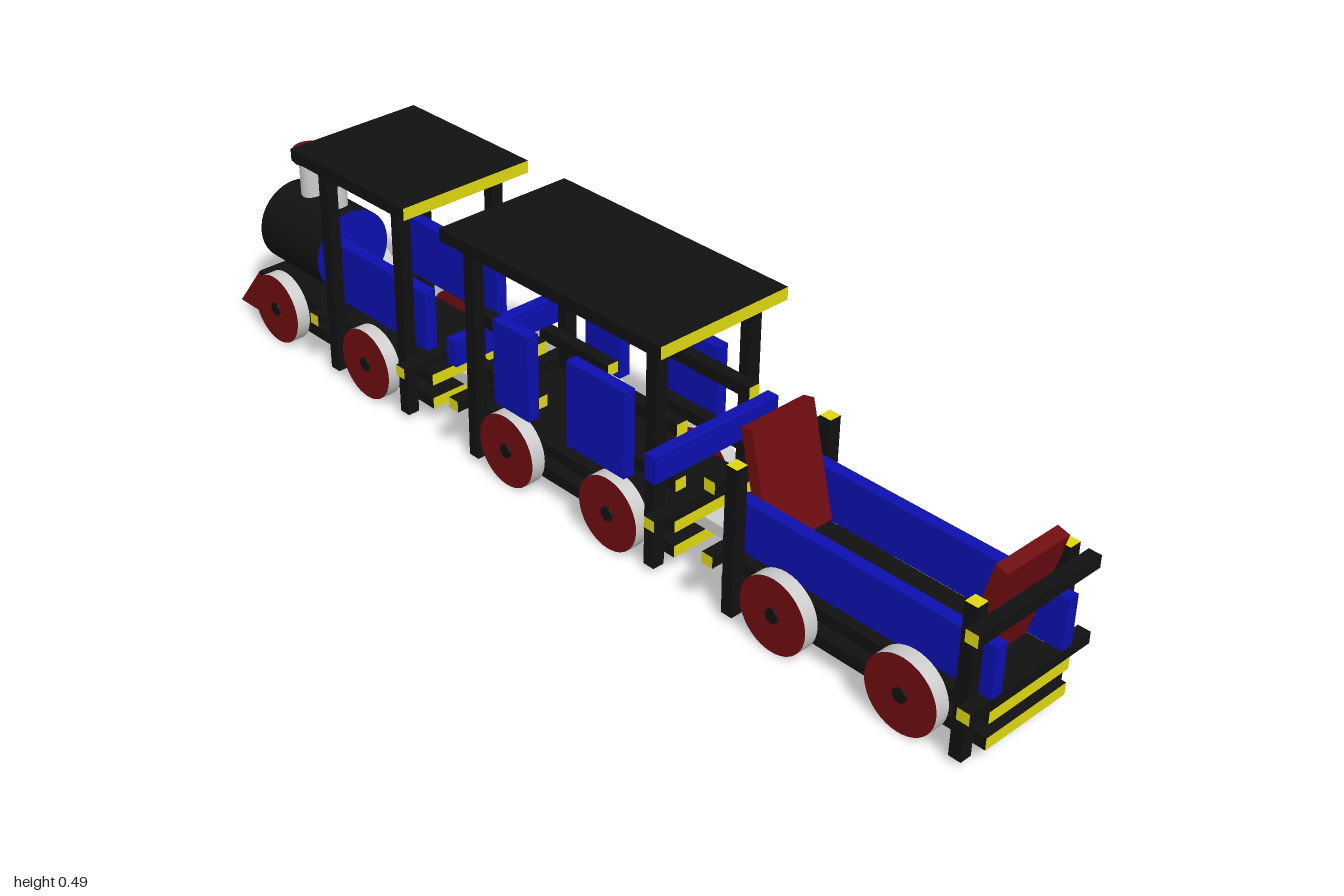
import * as THREE from 'three';

const mat = (color) => new THREE.MeshStandardMaterial({ color });
const BLACK = mat(0x111111), RED = mat(0x6e0c10), BLUE = mat(0x0c0fae);
const YELLOW = mat(0xded80f), GREY = mat(0xcccccc);

function add(parent, name, geometry, material) {
  const mesh = new THREE.Mesh(geometry, material);
  mesh.name = name;
  parent.add(mesh);
  return mesh;
}

// Box given by its limits; cut ends along endAxis show yellow
function beam(parent, name, [x0, x1], [y0, y1], [z0, z1], material, endAxis) {
  const mats = [0, 1, 2].flatMap((a) => Array(2).fill('xyz'[a] === endAxis ? YELLOW : material));
  const mesh = add(parent, name, new THREE.BoxGeometry(x1 - x0, y1 - y0, z1 - z0), endAxis ? mats : material);
  mesh.position.set((x0 + x1) / 2, (y0 + y1) / 2, (z0 + z1) / 2);
  return mesh;
}

// The same beam on both sides of the train
function beamPair(parent, name, x, y, [z0, z1], material, endAxis) {
  beam(parent, name + 'Left', x, y, [z0, z1], material, endAxis);
  beam(parent, name + 'Right', x, y, [-z1, -z0], material, endAxis);
}

// Cylinder along an axis with separate side and end materials
function rod(parent, name, axis, r, length, [x, y, z], side, ends = side) {
  const geo = new THREE.CylinderGeometry(r, r, length, 40);
  if (axis === 'x') geo.rotateZ(Math.PI / 2);
  if (axis === 'z') geo.rotateX(Math.PI / 2);
  const mesh = add(parent, name, geo, [side, ends, ends]);
  mesh.position.set(x, y, z);
  return mesh;
}

// Two deck plates, axle blocks, wheels, corner posts and cross rails
function undercarriage(name, deck, wheelX, postX, postTop) {
  const car = new THREE.Group();
  car.name = name;
  beam(car, 'upperDeck', deck, [0.09, 0.114], [-0.1, 0.1], BLACK, 'x');
  beam(car, 'lowerDeck', deck, [0.038, 0.062], [-0.1, 0.1], BLACK, 'x');
  for (const x of wheelX) {
    beam(car, 'axleBlock', [x - 0.025, x + 0.025], [0.062, 0.09], [-0.1, 0.1], BLACK);
    for (const s of [1, -1]) {
      rod(car, 'wheel', 'z', 0.074, 0.03, [x, 0.074, s * 0.115], GREY, RED);
      rod(car, 'hub', 'z', 0.014, 0.004, [x, 0.074, s * 0.131], BLACK);
      rod(car, 'dowel', 'y', 0.01, 0.003, [x, 0.038, s * 0.06], YELLOW);
    }
  }
  postX.forEach((x, i) => {
    beamPair(car, 'post', [x - 0.0125, x + 0.0125], [0.012, postTop], [0.1, 0.125], BLACK, 'y');
    beam(car, 'crossRail', outside(x, i), [0.114, 0.137], [-0.15, 0.15], BLACK, 'z');
  });
  return car;
}

// x range of a plank fixed to the outer face of a post
const outside = (x, i) => (i === 0 ? [x - 0.0375, x - 0.0125] : [x + 0.0125, x + 0.0375]);

function roof(car, x) {
  beam(car, 'roof', x, [0.461, 0.486], [-0.15, 0.15], BLACK, 'x');
}

function engine() {
  const car = undercarriage('engine', [-0.92, -0.35], [-0.824, -0.524], [-0.635, -0.41], 0.461);
  roof(car, [-0.697, -0.35]);
  beamPair(car, 'cabSide', [-0.685, -0.363], [0.162, 0.287], [0.075, 0.1], BLUE);

  // Boiler with smokebox door
  rod(car, 'boiler', 'x', 0.0875, 0.195, [-0.8225, 0.2015, 0], BLACK, BLUE);
  rod(car, 'smokebox', 'x', 0.064, 0.028, [-0.933, 0.2015, 0], GREY, RED);

  // Chimney and dome
  rod(car, 'chimney', 'y', 0.025, 0.09, [-0.85, 0.318, 0], GREY);
  rod(car, 'chimneyCap', 'y', 0.036, 0.025, [-0.85, 0.374, 0], RED);
  rod(car, 'dome', 'y', 0.025, 0.062, [-0.775, 0.307, 0], GREY, RED);

  // Wedge at the nose
  const wedge = new THREE.Shape([[-1, 0.013], [-0.92, 0.013], [-0.92, 0.114]].map((p) => new THREE.Vector2(...p)));
  const geo = new THREE.ExtrudeGeometry(wedge, { depth: 0.2, bevelEnabled: false });
  geo.translate(0, 0, -0.1);
  add(car, 'noseWedge', geo, RED);
  return car;
}

function passengerCar() {
  const posts = [-0.2, 0.275];
  const car = undercarriage('passengerCar', [-0.2375, 0.3125], [-0.1, 0.174], posts, 0.461);
  roof(car, [-0.247, 0.322]);

  // Side panels on rails, leaving a door gap
  const rails = [[-0.2375, -0.045], [0.065, 0.3125]];
  const panels = [[-0.135, -0.04], [0.062, 0.21]];
  for (const i of [0, 1]) {
    for (const y of [0.175, 0.287]) beamPair(car, 'sideRail', rails[i], [y, y + 0.024], [0.075, 0.1], BLACK, 'x');
    beamPair(car, 'sidePanel', panels[i], [0.162, 0.337], [0.1, 0.125], BLUE);
    beam(car, 'endPlank', outside(posts[i], i), [0.212, 0.265], [-0.15, 0.15], BLUE);
  }
  return car;
}

function openWagon() {
  const posts = [0.465, 0.96];
  const car = undercarriage('openWagon', [0.428, 0.9975], [0.573, 0.848], posts, 0.311);
  beamPair(car, 'wagonSide', [0.428, 0.9975], [0.137, 0.237], [0.075, 0.1], BLUE);

  // Leaning seat backs and the upper end rails
  posts.forEach((x, i) => {
    beam(car, 'upperEndRail', outside(x, i), [0.262, 0.286], [-0.15, 0.15], BLACK, 'z');
    const back = add(car, 'seatBack', new THREE.BoxGeometry(0.025, 0.226, 0.15), RED);
    back.position.set(i ? 0.944 : 0.475, 0.247, 0);
    back.rotation.z = i ? -0.25 : 0.25;
  });
  return car;
}

export function createModel() {
  const train = new THREE.Group();
  train.name = 'train';
  train.add(engine(), passengerCar(), openWagon());

  // Couplings between the cars
  for (const x of [[-0.385, -0.2], [0.275, 0.465]]) {
    beam(train, 'coupling', x, [0.064, 0.088], [-0.025, 0.025], GREY);
  }
  return train;
}
